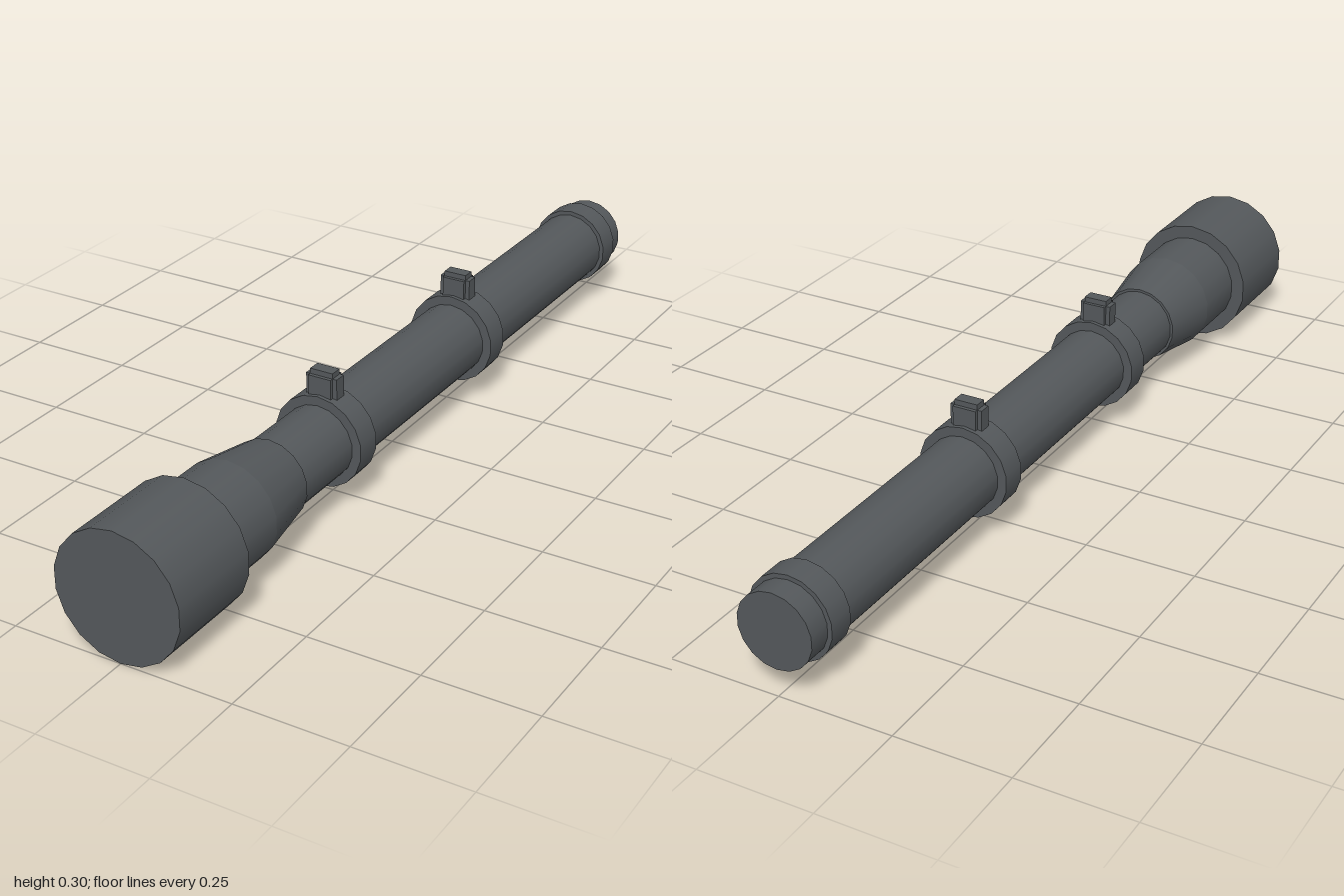
import * as THREE from 'three';

const AXIS_Y = 0.146;
const SIDES = 18;

export function createModel() {
  const group = new THREE.Group();
  const material = new THREE.MeshStandardMaterial({ color: 0x54585b });

  function add(name, geometry, parent = group) {
    const mesh = new THREE.Mesh(geometry, material);
    mesh.name = name;
    parent.add(mesh);
    return mesh;
  }

  // Closed round section along z, from back to front
  function section(name, zBack, zFront, rBack, rFront = rBack, parent = group) {
    const g = new THREE.CylinderGeometry(rFront, rBack, zFront - zBack, SIDES);
    g.rotateX(Math.PI / 2);
    g.translate(0, AXIS_Y, (zBack + zFront) / 2);
    return add(name, g, parent);
  }

  // Tube and its wider front end
  section('mainTube', -1, 0.5, 0.084);
  section('frontTaper', 0.488, 0.634, 0.09, 0.113);
  section('frontBell', 0.634, 0.79, 0.113);
  section('frontHood', 0.776, 1, 0.144);
  section('rearCollar', -0.949, -0.888, 0.094);

  // Two clamp rings, each with a step-edged block on top
  const blockBottom = 0.235;
  const steps = [ // half width, top, half depth
    [0.037, 0.291, 0.014],
    [0.027, 0.291, 0.022],
    [0.027, 0.303, 0.014],
  ];
  for (const [name, z] of [['frontMount', 0.275], ['rearMount', -0.297]]) {
    const mount = new THREE.Group();
    mount.name = name;
    mount.position.z = z;
    section('clampRing', -0.031, 0.031, 0.105, 0.105, mount);
    for (const [hw, top, hd] of steps) {
      const g = new THREE.BoxGeometry(hw * 2, top - blockBottom, hd * 2);
      g.translate(0, (top + blockBottom) / 2, 0);
      add('mountBlock', g, mount);
    }
    group.add(mount);
  }

  return group;
}
